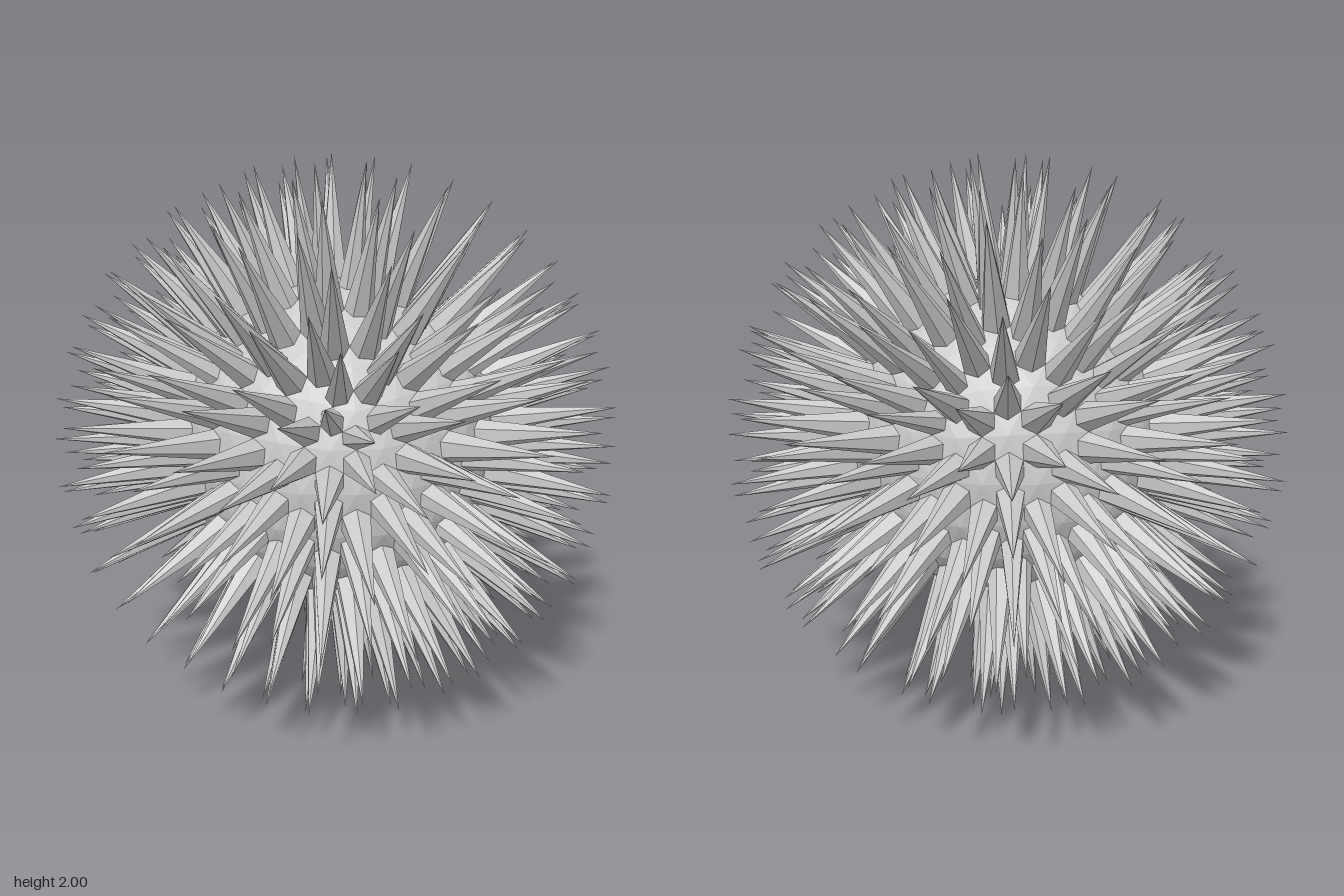
import * as THREE from 'three';

const CORE_RADIUS = 0.58;
const SPIKE_LENGTH = 0.437;

// Six-sided spike standing on one triangular facet: its base corners are the
// edge midpoints and the points halfway from the centre to each facet corner.
function addSpike(out, corners) {
  const [a, b, c] = corners;
  const centre = a.clone().add(b).add(c).divideScalar(3);
  const normal = new THREE.Triangle(a, b, c).getNormal(new THREE.Vector3());
  const tip = centre.clone().addScaledVector(normal, SPIKE_LENGTH);
  const base = [];
  corners.forEach((corner, i) => {
    base.push(centre.clone().lerp(corner, 0.5));
    base.push(corner.clone().lerp(corners[(i + 1) % 3], 0.5));
  });
  base.forEach((p, i) => {
    const q = base[(i + 1) % base.length];
    out.push(...p.toArray(), ...q.toArray(), ...tip.toArray());
  });
}

export function createModel() {
  const model = new THREE.Group();
  model.name = 'spikyBall';
  const material = new THREE.MeshStandardMaterial({ color: 0xcccccc, flatShading: true });

  // Faceted core, turned so one five-way corner points straight up
  const coreGeometry = new THREE.IcosahedronGeometry(CORE_RADIUS, 3);
  coreGeometry.rotateZ(-Math.atan(2 / (1 + Math.sqrt(5))));
  const core = new THREE.Mesh(coreGeometry, material);
  core.name = 'core';

  // One spike on every facet
  const facets = coreGeometry.getAttribute('position');
  const points = [];
  for (let i = 0; i < facets.count; i += 3) {
    addSpike(points, [0, 1, 2].map((k) => new THREE.Vector3().fromBufferAttribute(facets, i + k)));
  }
  const spikeGeometry = new THREE.BufferGeometry();
  spikeGeometry.setAttribute('position', new THREE.Float32BufferAttribute(points, 3));
  spikeGeometry.computeVertexNormals();
  const spikes = new THREE.Mesh(spikeGeometry, material);
  spikes.name = 'spikes';

  core.position.y = spikes.position.y = 1;
  model.add(core, spikes);
  return model;
}
